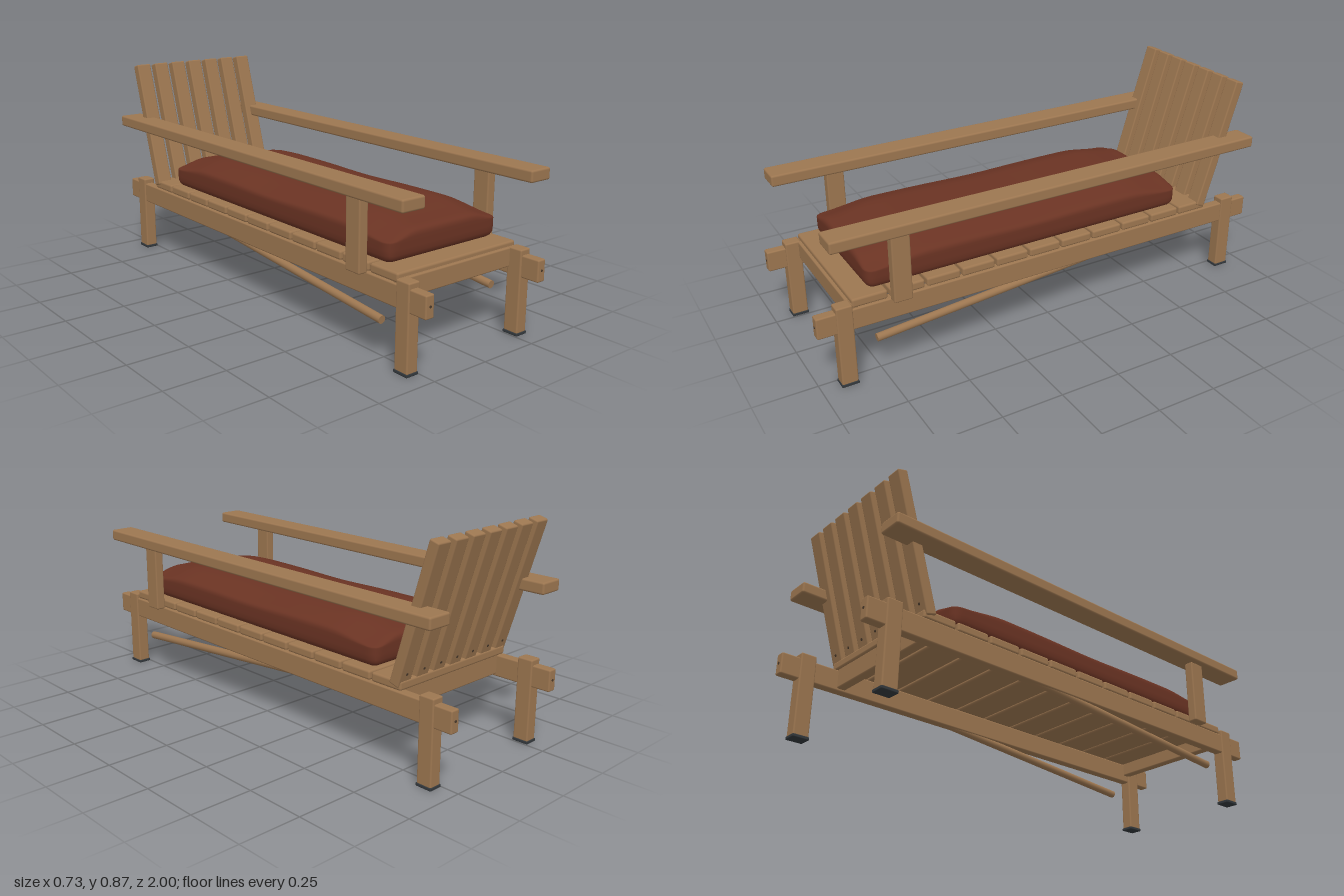
import * as THREE from 'three';
import { RoundedBoxGeometry } from 'three/addons/geometries/RoundedBoxGeometry.js';
import { mergeVertices } from 'three/addons/utils/BufferGeometryUtils.js';

export function createModel() {
  const group = new THREE.Group();
  const mat = (name, color) => Object.assign(new THREE.MeshStandardMaterial({ color }), { name });
  const wood = mat('wood', 0x9c7650);
  const fabric = mat('cushion fabric', 0x6a3323);
  const rubber = mat('rubber', 0x33383c);
  const screwMat = mat('screw', 0x4a3a2b);

  const add = (name, geometry, material, x = 0, y = 0, z = 0, parent = group) => {
    const mesh = new THREE.Mesh(geometry, material);
    mesh.name = name;
    mesh.position.set(x, y, z);
    parent.add(mesh);
    return mesh;
  };
  // Softly rounded timber given by its limits
  const plank = (name, x0, x1, y0, y1, z0, z1, r = 0.006, material = wood) =>
    add(name, new RoundedBoxGeometry(x1 - x0, y1 - y0, z1 - z0, 2, r), material,
      (x0 + x1) / 2, (y0 + y1) / 2, (z0 + z1) / 2);
  const mirrored = (name, x0, x1, ...rest) => {
    plank(name, x0, x1, ...rest);
    plank(name, -x1, -x0, ...rest);
  };
  const screwGeometry = new THREE.CylinderGeometry(0.005, 0.005, 0.004, 12).rotateX(Math.PI / 2);

  // Frame: side rails, legs with rubber feet, end bars
  mirrored('sideRail', 0.263, 0.302, 0.23, 0.316, -1, 1);
  for (const z of [0.893, -0.893]) {
    mirrored('leg', 0.256, 0.307, 0.008, 0.337, z - 0.032, z + 0.032);
    mirrored('foot', 0.254, 0.309, 0, 0.012, z - 0.034, z + 0.034, 0.003, rubber);
  }
  plank('frontBar', -0.295, 0.295, 0.26, 0.335, 0.835, 0.872);
  plank('rearBar', -0.27, 0.27, 0.24, 0.322, -0.762, -0.725);
  for (const x of [-0.282, 0.282])
    for (const z of [1, -1]) add('railScrew', screwGeometry, screwMat, x, 0.275, z);

  // Seat slats
  for (let i = 0; i < 11; i++) {
    const z = 0.86 - i * 0.149;
    plank('seatSlat', -0.298, 0.298, 0.317, 0.353, z - 0.14, z, 0.009);
  }

  // Armrests and their front posts
  mirrored('armrest', 0.264, 0.367, 0.59, 0.637, -0.948, 0.947, 0.008);
  mirrored('armPost', 0.302, 0.342, 0.315, 0.592, 0.64, 0.714);

  // Leaning backrest of seven slats, pivoted at its foot
  const backrest = new THREE.Group();
  backrest.name = 'backrest';
  backrest.position.set(0, 0.335, -0.741);
  backrest.rotation.x = -0.293;
  group.add(backrest);
  const backSlat = new RoundedBoxGeometry(0.066, 0.558, 0.042, 2, 0.006);
  for (let i = -3; i <= 3; i++) {
    add('backSlat', backSlat, wood, i * 0.0908, 0.279, 0, backrest);
    add('backScrew', screwGeometry, screwMat, i * 0.0908, 0.05, -0.021, backrest);
  }

  // Slanted rods below the rails
  const from = new THREE.Vector3(0, 0.155, 0.77);
  const to = new THREE.Vector3(0, 0.249, -0.3);
  const axis = to.clone().sub(from);
  for (const x of [-0.282, 0.282]) {
    const rod = add('supportRod', new THREE.CylinderGeometry(0.016, 0.016, axis.length(), 16),
      wood, x, (from.y + to.y) / 2, (from.z + to.z) / 2);
    rod.quaternion.setFromUnitVectors(new THREE.Vector3(0, 1, 0), axis.clone().normalize());
  }

  // Padded cushion: a rounded block whose top falls away to the edges
  let pad = new THREE.BoxGeometry(2, 2, 2, 24, 10, 40);
  pad.deleteAttribute('normal');
  pad.deleteAttribute('uv');
  pad = mergeVertices(pad);
  const half = new THREE.Vector3(0.275, 0.0725, 0.708);
  const radius = 0.038;
  const inner = half.clone().subScalar(radius);
  const p = new THREE.Vector3(), core = new THREE.Vector3();
  const pos = pad.attributes.position;
  const ease = (t) => Math.sin(t * Math.PI / 2);
  for (let i = 0; i < pos.count; i++) {
    p.fromBufferAttribute(pos, i);
    p.set(ease(p.x), ease(p.y), ease(p.z)).multiply(half);
    core.copy(p).clamp(inner.clone().negate(), inner);
    p.sub(core).setLength(radius).add(core);
    const u = Math.abs(p.x) / half.x, w = p.z / half.z;
    const lift = Math.max(0, p.y / half.y);
    const drop = 0.032 * THREE.MathUtils.smoothstep(u, 0.5, 1)
      + 0.03 * THREE.MathUtils.smoothstep(Math.abs(w), 0.65, 1)
      + 0.007 * Math.exp(-w * w * 12);
    p.y -= lift * drop;
    pos.setXYZ(i, p.x, p.y, p.z);
  }
  pad.computeVertexNormals();
  add('cushion', pad, fabric, 0, 0.4245, 0.082);

  return group;
}
